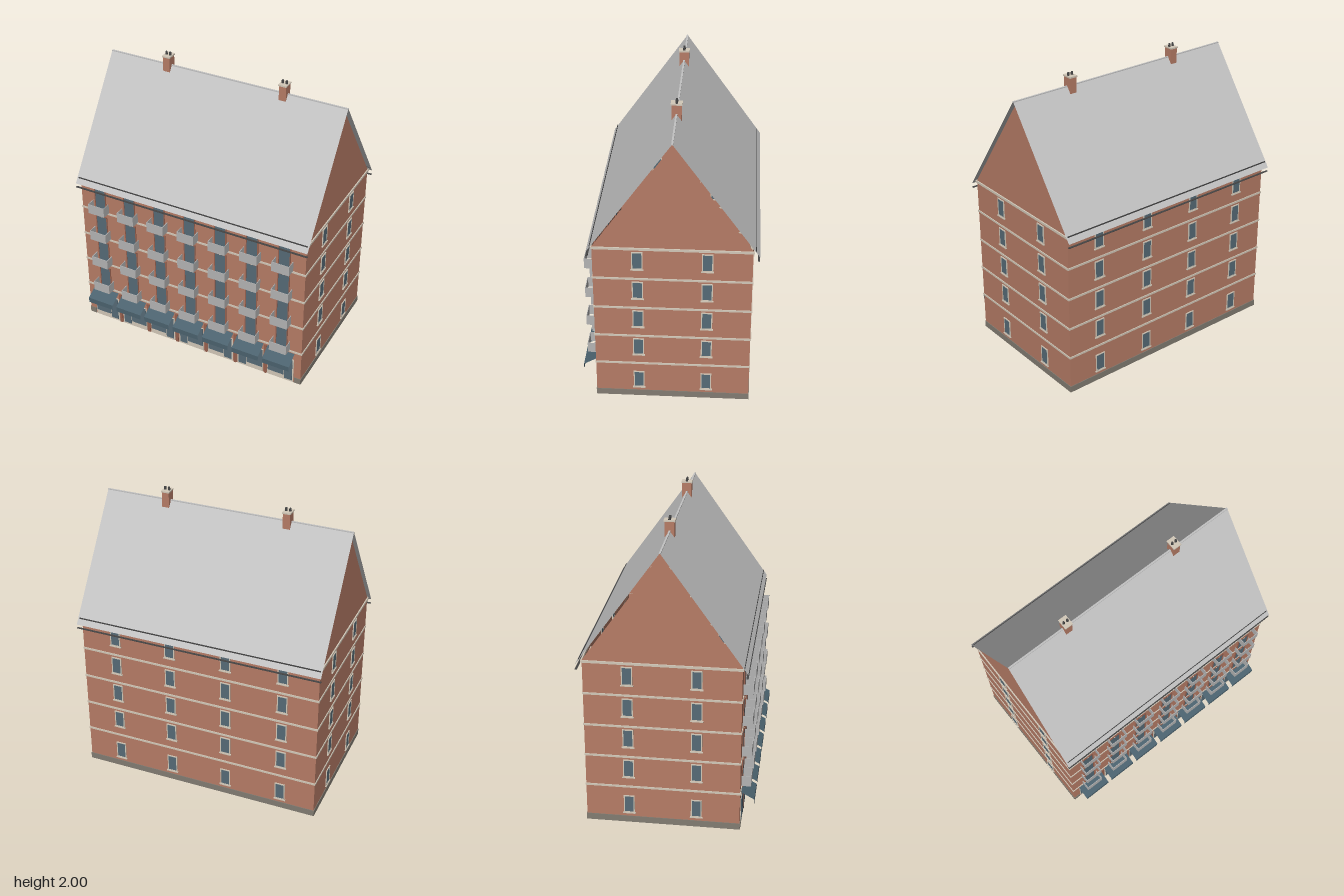
import * as THREE from 'three';

const mat = (name, color, side = THREE.FrontSide) => {
  const m = new THREE.MeshStandardMaterial({ color, side });
  m.name = name;
  return m;
};

export function createModel() {
  const model = new THREE.Group();
  model.name = 'apartmentHouse';

  const brick = mat('brick', 0xb67c66, THREE.DoubleSide);
  const roofGrey = mat('roofGrey', 0xc2c2c2, THREE.DoubleSide);
  const glass = mat('glass', 0x566b77);
  const awningBlue = mat('awningBlue', 0x4b626e, THREE.DoubleSide);
  const trim = mat('creamTrim', 0xd3c9b9);
  const stone = mat('plinthStone', 0x827c72);
  const concrete = mat('balconyGrey', 0xb4b4b4, THREE.DoubleSide);
  const dark = mat('darkMetal', 0x454545);
  const lintel = mat('darkBrick', 0x97614f);

  const HX = 0.845, ZF = 0.485, ZB = -0.53, ZC = -0.0225, EAVE = 1.17;

  const add = (parent, name, geo, m) => {
    const mesh = new THREE.Mesh(geo, m);
    mesh.name = name;
    parent.add(mesh);
    return mesh;
  };
  const box = (parent, name, m, w, h, d, x, y, z) => {
    const mesh = add(parent, name, new THREE.BoxGeometry(w, h, d), m);
    mesh.position.set(x, y, z);
    return mesh;
  };
  // Sheet of quads: a (z, y) path swept from x0 to x1
  const sheet = (path, x0, x1) => {
    const pos = [], idx = [];
    for (let i = 0; i < path.length - 1; i++) {
      const [za, ya] = path[i], [zb, yb] = path[i + 1], b = i * 4;
      pos.push(x0, ya, za, x0, yb, zb, x1, yb, zb, x1, ya, za);
      idx.push(b, b + 1, b + 2, b, b + 2, b + 3);
    }
    const g = new THREE.BufferGeometry();
    g.setAttribute('position', new THREE.Float32BufferAttribute(pos, 3));
    g.setIndex(idx);
    g.computeVertexNormals();
    return g;
  };

  // Walls: open shell with gabled ends
  add(model, 'frontWall', sheet([[ZF, EAVE], [ZF, 0]], -HX, HX), brick);
  add(model, 'backWall', sheet([[ZB, 0], [ZB, EAVE]], -HX, HX), brick);
  const gable = new THREE.Shape([[ZF, 0], [ZF, EAVE], [ZC, 1.885], [ZB, EAVE], [ZB, 0]]
    .map(([z, y]) => new THREE.Vector2(-z, y)));
  for (const s of [1, -1]) {
    const end = add(model, s > 0 ? 'leftGableWall' : 'rightGableWall', new THREE.ShapeGeometry(gable), brick);
    end.rotation.y = Math.PI / 2;
    end.position.x = s * HX;
    if (s < 0) end.geometry.index.array.reverse(), end.geometry.scale(1, 1, -1);
  }

  // A strip running round the house; the front can be left out
  const ring = (name, m, y, h, t, front = true) => {
    const g = new THREE.Group();
    g.name = name;
    if (front) box(g, name + 'Front', m, 2 * HX + 2 * t, h, t, 0, y, ZF + t / 2);
    box(g, name + 'Back', m, 2 * HX + 2 * t, h, t, 0, y, ZB - t / 2);
    for (const s of [1, -1]) box(g, name + 'Side', m, t, h, ZF - ZB, s * (HX + t / 2), y, ZC);
    model.add(g);
  };
  ring('plinth', stone, 0.0225, 0.045, 0.004, false);
  for (const y of [0.27, 0.493, 0.715, 0.938]) ring('floorBand', trim, y, 0.014, 0.005);
  ring('cornice', trim, 1.162, 0.016, 0.008);
  for (const s of [1, -1]) box(model, 'cornerPlinth', stone, 0.048, 0.045, 0.004, s * 0.823, 0.0225, ZF + 0.002);

  // Small windows on the back and the gable ends
  const smallWindow = (x, y, z, turn) => {
    const g = new THREE.Group();
    g.name = 'smallWindow';
    box(g, 'pane', glass, 0.058, 0.114, 0.008, 0, 0, 0);
    for (const s of [1, -1]) {
      box(g, 'frameSide', trim, 0.007, 0.128, 0.012, s * 0.0325, 0, 0);
      box(g, 'frameRail', trim, 0.058, 0.007, 0.012, 0, s * 0.0605, 0);
    }
    box(g, 'sill', trim, 0.084, 0.007, 0.014, 0, -0.067, 0.003);
    g.position.set(x, y, z);
    g.rotation.y = turn;
    model.add(g);
  };
  for (const y of [0.138, 0.407, 0.63, 0.852, 1.075]) {
    for (const x of [-0.6, -0.2, 0.2, 0.6]) smallWindow(x, y, ZB, Math.PI);
    for (const z of [0.2, -0.245])
      for (const s of [1, -1]) smallWindow(s * HX, y, z, s * Math.PI / 2);
  }

  // Front bays: shopfront and awning below, four balcony doors above
  const bays = [-0.695, -0.464, -0.232, 0, 0.232, 0.464, 0.695];
  bays.forEach((x, i) => {
    const shop = new THREE.Group();
    shop.name = 'shopfront';
    const d = i % 2 ? -1 : 1;
    box(shop, 'shopPanel', trim, 0.196, 0.2, 0.006, 0, 0.1, 0.001);
    box(shop, 'shopInnerPane', glass, 0.18, 0.18, 0.006, 0, 0.11, -0.003);
    box(shop, 'shopPane', glass, 0.118, 0.155, 0.006, -d * 0.034, 0.118, 0.004);
    box(shop, 'shopDoor', glass, 0.058, 0.18, 0.006, d * 0.06, 0.105, 0.004);
    add(shop, 'awning', sheet([[0.002, 0.255], [0.09, 0.205], [0.09, 0.166]], -0.1, 0.1), awningBlue);
    shop.position.set(x, 0, ZF);
    model.add(shop);

    for (let f = 0; f < 4; f++) {
      const g = new THREE.Group();
      g.name = 'balconyBay';
      box(g, 'balconyDoor', glass, 0.076, 0.164, 0.008, 0, 0.094, 0);
      for (const s of [1, -1]) box(g, 'doorJamb', lintel, 0.006, 0.176, 0.012, s * 0.041, 0.094, 0);
      box(g, 'doorHead', lintel, 0.088, 0.008, 0.014, 0, 0.18, 0);
      box(g, 'keystone', trim, 0.01, 0.008, 0.016, 0, 0.18, 0.001);
      box(g, 'bracket', lintel, 0.07, 0.01, 0.012, 0, -0.014, 0.004);
      // Parapet panels, with a soffit facing down
      box(g, 'parapetFront', concrete, 0.126, 0.072, 0.004, 0, 0.04, 0.063);
      for (const s of [1, -1]) box(g, 'parapetSide', concrete, 0.004, 0.072, 0.061, s * 0.061, 0.04, 0.0305);
      const soffit = add(g, 'balconySoffit', new THREE.PlaneGeometry(0.122, 0.061), trim);
      soffit.rotation.x = Math.PI / 2;
      soffit.position.set(0, 0.006, 0.0305);
      g.position.set(x, 0.275 + f * 0.2228, ZF);
      model.add(g);
    }
  });
  // Piers between the shops
  for (let i = 0; i < 6; i++)
    box(model, 'shopPier', lintel, 0.02, 0.25, 0.008, (bays[i] + bays[i + 1]) / 2, 0.125, ZF + 0.004);

  // Roof sheets, ridge, snow guards and gutters
  const RX = 0.865, RF = 0.52, RB = -0.572, RY = 1.14, RT = 1.91, RZ = -0.025;
  add(model, 'roof', sheet([[RB, RY], [RZ, RT], [RF, RY]], RX, -RX).rotateY(0), roofGrey);
  box(model, 'ridgeCap', roofGrey, 2 * RX, 0.006, 0.012, 0, RT - 0.002, RZ);
  for (const s of [1, -1]) {
    const half = (RF - RB) / 2;
    box(model, 'snowGuard', dark, 2 * RX - 0.02, 0.008, 0.004, 0, 1.179, RZ + s * (half - 0.024));
    box(model, 'gutter', dark, 2 * RX, 0.004, 0.014, 0, 1.112, RZ + s * (half - 0.006));
  }

  // Chimneys
  for (const s of [1, -1]) {
    const g = new THREE.Group();
    g.name = 'chimney';
    box(g, 'chimneyStack', brick, 0.05, 0.12, 0.064, 0, 1.91, 0);
    box(g, 'chimneyCap', trim, 0.058, 0.01, 0.074, 0, 1.974, 0);
    for (const p of [1, -1])
      add(g, 'chimneyPot', new THREE.CylinderGeometry(0.007, 0.009, 0.022, 10), dark)
        .position.set(p * 0.014, 1.989, 0);
    g.position.set(s * 0.425, 0, -0.026);
    model.add(g);
  }
  return model;
}
